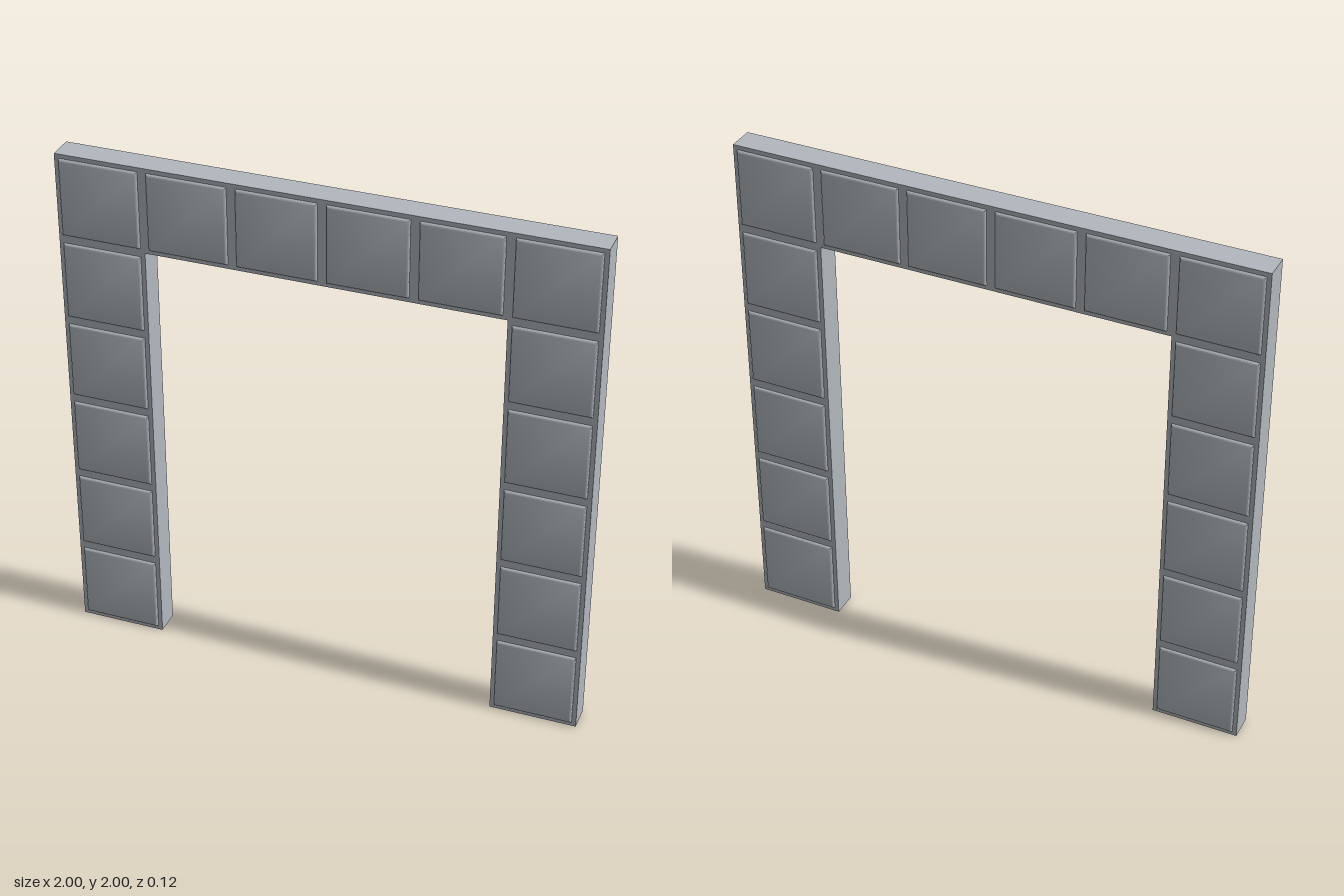
import * as THREE from 'three';
import { toCreasedNormals } from 'three/addons/utils/BufferGeometryUtils.js';

const CELL = 1 / 3;      // six blocks across and six up
const HALF_DEPTH = 0.05; // half thickness of the frame
const BEVEL = 0.008;

// Portal outline: two legs joined by a lintel
function frameGeometry() {
  const inner = 1 - CELL, top = 2 - CELL;
  const points = [[-1, 0], [-inner, 0], [-inner, top], [inner, top], [inner, 0], [1, 0], [1, 2], [-1, 2]];
  const shape = new THREE.Shape(points.map(([x, y]) => new THREE.Vector2(x, y)));
  const geometry = new THREE.ExtrudeGeometry(shape, { depth: HALF_DEPTH * 2, bevelEnabled: false });
  return geometry.translate(0, 0, -HALF_DEPTH);
}

// Square block face with softened edges, its base sunk into the frame
function panelGeometry() {
  const h = 0.15 - BEVEL;
  const shape = new THREE.Shape([[-h, -h], [h, -h], [h, h], [-h, h]].map(([x, y]) => new THREE.Vector2(x, y)));
  const geometry = new THREE.ExtrudeGeometry(shape, {
    depth: 0.01, bevelThickness: BEVEL, bevelSize: BEVEL, bevelSegments: 3,
  });
  geometry.translate(0, 0, HALF_DEPTH + 0.001 - 0.01);
  return toCreasedNormals(geometry, 0.7);
}

export function createModel() {
  const model = new THREE.Group();
  model.name = 'stoneGateway';
  const stone = new THREE.MeshStandardMaterial({ color: 0xb2b8be });
  stone.name = 'grey stone';

  const frame = new THREE.Mesh(frameGeometry(), stone);
  frame.name = 'frame';
  model.add(frame);

  // Raised panels on the front and back of both legs and the lintel
  const panel = panelGeometry();
  for (const [side, angle] of [['front', 0], ['back', Math.PI]]) {
    const panels = new THREE.Group();
    panels.name = side + 'Panels';
    panels.rotation.y = angle;
    for (let col = 0; col < 6; col++) {
      for (let row = 0; row < 6; row++) {
        if (col > 0 && col < 5 && row < 5) continue;
        const mesh = new THREE.Mesh(panel, stone);
        mesh.name = row === 5 ? 'lintelPanel' : 'legPanel';
        mesh.position.set(-1 + (col + 0.5) * CELL, (row + 0.5) * CELL, 0);
        panels.add(mesh);
      }
    }
    model.add(panels);
  }
  return model;
}
